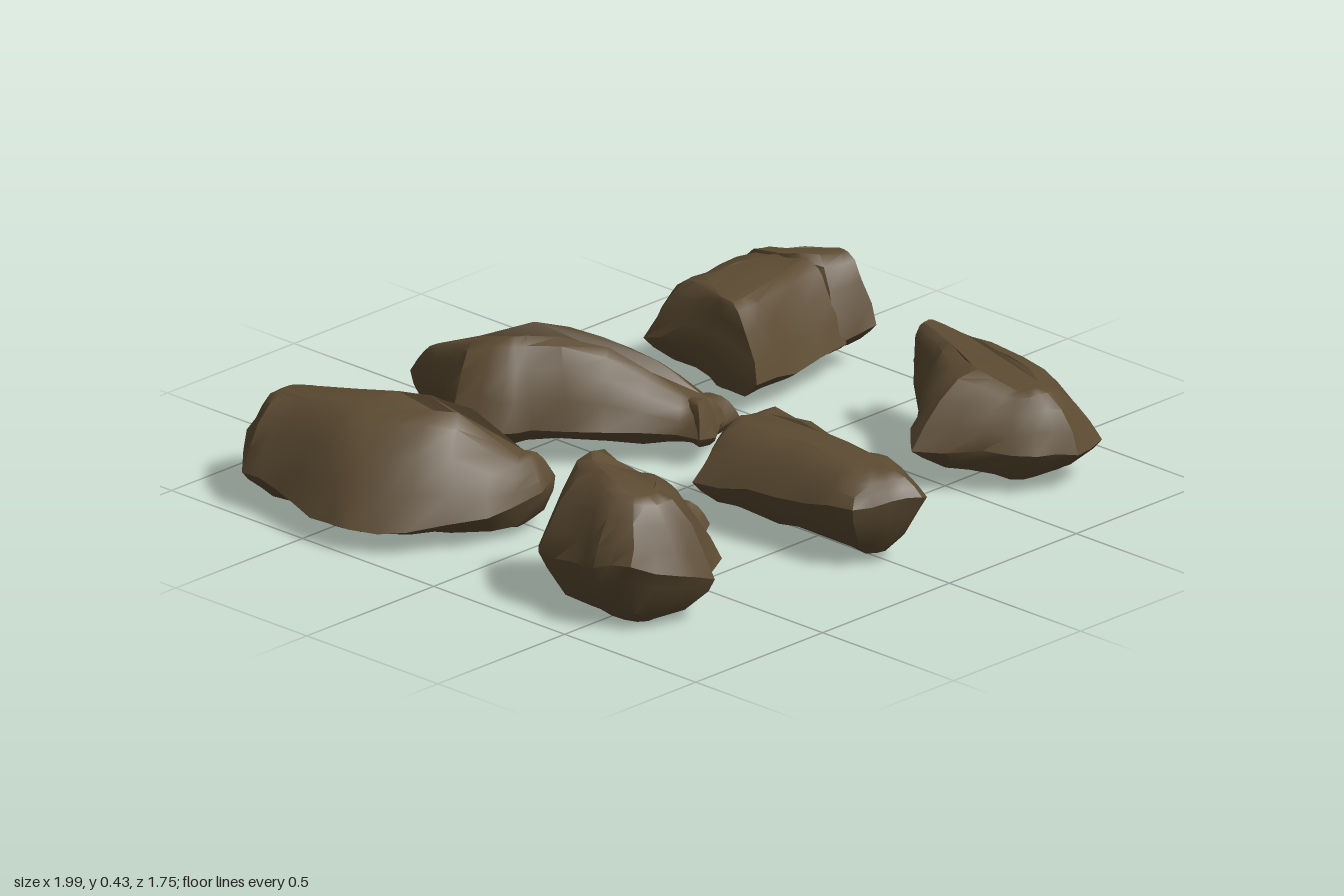
import * as THREE from 'three';
import { toCreasedNormals } from 'three/addons/utils/BufferGeometryUtils.js';

const V = (x, y, z) => new THREE.Vector3(x, y, z);
const CROWN = 0.74; // how far the outline shrinks to the ridge before it is capped

// Nearest point on a ridge polyline, measured in plan
function onRidge(ridge, p) {
  let best = null, bestD = Infinity;
  for (let i = 0; i < ridge.length - 1; i++) {
    const a = V(...ridge[i]), b = V(...ridge[i + 1]);
    const dx = b.x - a.x, dz = b.z - a.z;
    const k = THREE.MathUtils.clamp(((p.x - a.x) * dx + (p.z - a.z) * dz) / (dx * dx + dz * dz), 0, 1);
    const q = a.lerp(b, k), d = Math.hypot(q.x - p.x, q.z - p.z);
    if (d < bestD) { bestD = d; best = q; }
  }
  return best;
}

// Uneven stone surface, driven by position
function roughen(p) {
  const n = Math.sin(p.x * 31 + p.z * 17) + Math.sin(p.z * 37 - p.x * 13 + p.y * 25);
  return V(p.x + 0.004 * Math.sin(p.y * 40 + p.z * 23), Math.max(0, p.y + 0.004 * n), p.z + 0.004 * Math.sin(p.x * 29 + p.y * 31));
}

// Stone: plan outline [x, z, waist height] rising to a ridge [x, y, z] and closing on a keel below
function stone({ outline, ridge, floor, bulge = 0.85, split = 2 }) {
  const waist = [];
  outline.forEach(([x, z, y], i) => {
    const [x2, z2, y2] = outline[(i + 1) % outline.length];
    for (let s = 0; s < split; s++) waist.push(V(x, y, z).lerp(V(x2, y2, z2), s / split));
  });
  const ring = (t, upper) => waist.map(p => {
    const r = onRidge(ridge, p);
    const end = upper ? r.y : floor;
    const rise = Math.pow(Math.sin(t / CROWN * Math.PI / 2), upper ? bulge : 0.9);
    return roughen(V(
      THREE.MathUtils.lerp(p.x, r.x, t),
      p.y + (end - p.y) * rise,
      THREE.MathUtils.lerp(p.z, r.z, t)));
  });
  const rings = [
    ...[CROWN, 0.54, 0.33, 0.14, 0].map(t => ring(t, true)),
    ...[0.12, 0.38, CROWN].map(t => ring(t, false)),
  ];
  const pos = [], n = waist.length;
  const tri = (a, b, c) => [a, b, c].forEach(p => pos.push(p.x, p.y, p.z));
  for (let r = 0; r < rings.length - 1; r++) {
    for (let i = 0; i < n; i++) {
      const j = (i + 1) % n, a = rings[r], b = rings[r + 1];
      tri(a[i], a[j], b[j]);
      tri(a[i], b[j], b[i]);
    }
  }
  // Caps over the crown and under the keel
  const cap = (loop, up) => {
    const flat = loop.map(p => new THREE.Vector2(p.x, p.z));
    for (const [i, j, k] of THREE.ShapeUtils.triangulateShape(flat, [])) {
      const a = loop[i], b = loop[j], c = loop[k];
      const facesUp = b.clone().sub(a).cross(c.clone().sub(a)).y > 0;
      if (facesUp === up) tri(a, b, c); else tri(a, c, b);
    }
  };
  cap(rings[0], true);
  cap(rings[rings.length - 1], false);
  const geo = new THREE.BufferGeometry();
  geo.setAttribute('position', new THREE.Float32BufferAttribute(pos, 3));
  return toCreasedNormals(geo, 0.65);
}

const stones = {
  backRightLongStone: {
    outline: [[-0.95, -0.78, 0.11], [-0.83, -0.875, 0.17], [-0.7, -0.865, 0.19], [-0.6, -0.76, 0.18], [-0.58, -0.6, 0.16],
      [-0.53, -0.42, 0.16], [-0.48, -0.2, 0.15], [-0.44, -0.07, 0.15], [-0.53, -0.04, 0.13], [-0.72, -0.07, 0.1],
      [-0.9, -0.2, 0.08], [-0.995, -0.33, 0.07], [-0.995, -0.47, 0.08], [-0.96, -0.65, 0.1]],
    ridge: [[-0.77, 0.3, -0.76], [-0.73, 0.35, -0.5], [-0.62, 0.36, -0.28], [-0.52, 0.22, -0.13]],
    floor: 0.02, bulge: 0.95,
  },
  backMiddleStone: {
    outline: [[-0.2, -0.86, 0.17], [-0.12, -0.77, 0.2], [0, -0.6, 0.23], [0.12, -0.42, 0.2], [0.22, -0.3, 0.14],
      [0.28, -0.2, 0.1], [0.26, -0.1, 0.1], [0.1, -0.06, 0.1], [0.08, -0.12, 0.1], [-0.08, -0.25, 0.12],
      [-0.2, -0.4, 0.12], [-0.27, -0.45, 0.11], [-0.335, -0.58, 0.12], [-0.23, -0.7, 0.17]],
    ridge: [[-0.18, 0.27, -0.74], [-0.12, 0.355, -0.55], [0.01, 0.345, -0.45], [0.11, 0.29, -0.3], [0.19, 0.18, -0.15]],
    floor: 0.05,
  },
  backMiddleStoneTip: {
    outline: [[0.2, -0.24, 0.12], [0.28, -0.22, 0.13], [0.305, -0.19, 0.11], [0.3, -0.09, 0.09], [0.23, -0.1, 0.09],
      [0.16, -0.05, 0.1], [0.1, -0.05, 0.1], [0.13, -0.15, 0.13]],
    ridge: [[0.17, 0.19, -0.12], [0.25, 0.16, -0.17]],
    floor: 0.05, split: 1,
  },
  backLeftStone: {
    outline: [[0.49, -0.64, 0.13], [0.58, -0.69, 0.13], [0.7, -0.7, 0.13], [0.82, -0.69, 0.14], [0.88, -0.6, 0.16],
      [0.9, -0.42, 0.18], [0.87, -0.23, 0.11], [0.65, -0.21, 0.1], [0.48, -0.195, 0.11], [0.48, -0.35, 0.17], [0.48, -0.5, 0.16]],
    ridge: [[0.51, 0.32, -0.35], [0.58, 0.325, -0.42], [0.86, 0.32, -0.42]],
    floor: 0.05, bulge: 1,
  },
  backLeftStoneEnd: {
    outline: [[0.81, -0.69, 0.14], [0.9, -0.64, 0.15], [0.95, -0.5, 0.17], [0.995, -0.35, 0.2], [0.975, -0.225, 0.13],
      [0.83, -0.24, 0.11], [0.82, -0.45, 0.15]],
    ridge: [[0.84, 0.33, -0.43], [0.965, 0.33, -0.36]],
    floor: 0.07, bulge: 1,
  },
  frontRightStone: {
    outline: [[-0.85, 0.26, 0.16], [-0.78, 0.29, 0.16], [-0.6, 0.31, 0.16], [-0.52, 0.35, 0.16], [-0.49, 0.52, 0.13],
      [-0.52, 0.63, 0.12], [-0.62, 0.68, 0.12], [-0.66, 0.75, 0.14], [-0.78, 0.73, 0.18], [-0.9, 0.66, 0.22],
      [-0.94, 0.55, 0.2], [-0.91, 0.45, 0.18], [-0.92, 0.32, 0.17]],
    ridge: [[-0.78, 0.39, 0.56], [-0.78, 0.42, 0.46], [-0.72, 0.43, 0.4], [-0.63, 0.34, 0.43]],
    floor: 0.01, bulge: 1,
  },
  frontRightStoneShoulder: {
    outline: [[-0.62, 0.32, 0.17], [-0.5, 0.31, 0.17], [-0.42, 0.34, 0.15], [-0.41, 0.49, 0.15], [-0.5, 0.53, 0.13], [-0.64, 0.5, 0.15]],
    ridge: [[-0.6, 0.3, 0.42], [-0.49, 0.23, 0.41]],
    floor: 0.06,
  },
  frontMiddleStone: {
    outline: [[-0.2, 0.22, 0.14], [-0.1, 0.17, 0.15], [0, 0.12, 0.17], [0.12, 0.16, 0.15], [0.25, 0.19, 0.13],
      [0.22, 0.33, 0.14], [0.17, 0.48, 0.14], [0.12, 0.65, 0.16], [0.12, 0.72, 0.17], [0.07, 0.84, 0.2],
      [0.02, 0.875, 0.22], [-0.06, 0.84, 0.22], [-0.15, 0.77, 0.2], [-0.16, 0.6, 0.18], [-0.18, 0.4, 0.16]],
    ridge: [[0, 0.28, 0.26], [-0.02, 0.3, 0.45], [-0.02, 0.29, 0.72]],
    floor: 0.04,
  },
  frontLeftStone: {
    outline: [[0.68, 0.2, 0.23], [0.76, 0.19, 0.2], [0.8, 0.27, 0.18], [0.85, 0.35, 0.16], [0.87, 0.5, 0.15],
      [0.9, 0.63, 0.14], [0.84, 0.73, 0.13], [0.83, 0.78, 0.12], [0.71, 0.81, 0.13], [0.6, 0.76, 0.14],
      [0.5, 0.64, 0.14], [0.38, 0.49, 0.14], [0.45, 0.42, 0.16], [0.58, 0.33, 0.19]],
    ridge: [[0.7, 0.35, 0.24], [0.7, 0.34, 0.4], [0.66, 0.33, 0.55], [0.65, 0.3, 0.64]],
    floor: 0.04,
  },
  frontLeftStoneTip: {
    outline: [[0.77, 0.12, 0.19], [0.81, 0.13, 0.18], [0.8, 0.24, 0.17], [0.84, 0.33, 0.16], [0.7, 0.36, 0.17], [0.62, 0.3, 0.17], [0.71, 0.2, 0.18]],
    ridge: [[0.77, 0.24, 0.19], [0.76, 0.27, 0.3]],
    floor: 0.08,
  },
};

export function createModel() {
  const group = new THREE.Group();
  group.name = 'stones';
  const brownStone = new THREE.MeshStandardMaterial({ color: 0x5c4b32, side: THREE.DoubleSide });
  brownStone.name = 'brownStone';
  for (const [name, spec] of Object.entries(stones)) {
    const mesh = new THREE.Mesh(stone(spec), brownStone);
    mesh.name = name;
    group.add(mesh);
  }
  return group;
}
